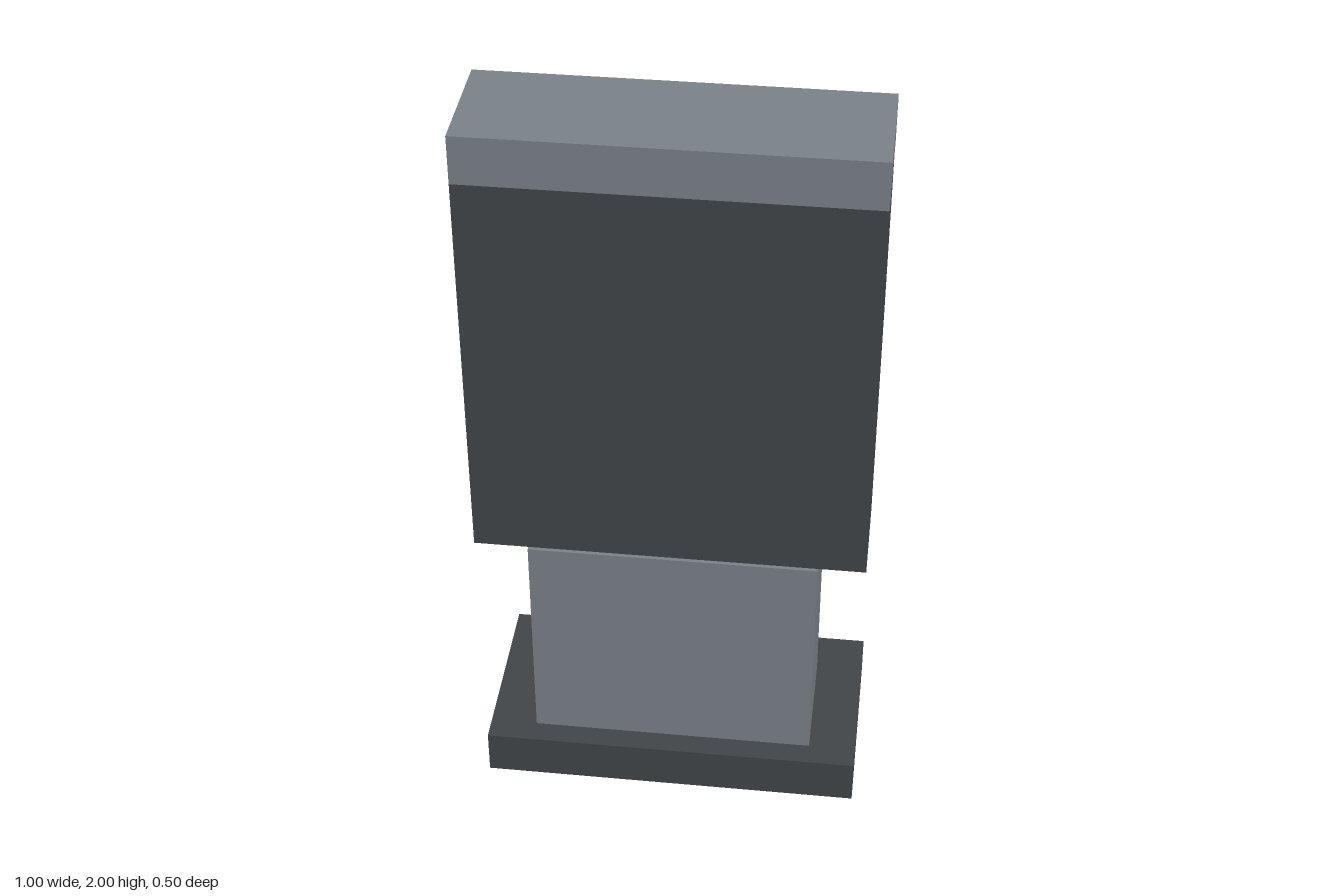
import * as THREE from 'three';

const paint = (name, color) => {
  const m = new THREE.MeshStandardMaterial({ color });
  m.name = name;
  return m;
};

export function createModel() {
  const model = new THREE.Group();
  model.name = 'kiosk';
  const dark = paint('charcoal', 0x42474a);
  const grey = paint('steel grey', 0x7c838a);
  const light = paint('light grey', 0xa2a7ac);
  const blue = paint('navy blue', 0x344f78);

  // Adds a box given by its lower and upper limits on each axis
  const box = (name, mat, [x0, x1], [y0, y1], [z0, z1]) => {
    const mesh = new THREE.Mesh(new THREE.BoxGeometry(x1 - x0, y1 - y0, z1 - z0), mat);
    mesh.position.set((x0 + x1) / 2, (y0 + y1) / 2, (z0 + z1) / 2);
    mesh.name = name;
    model.add(mesh);
  };

  // Stand
  box('base', dark, [-0.5, 0.5], [0, 0.125], [-0.25, 0.25]);
  box('column', grey, [-0.375, 0.375], [0.125, 0.75], [-0.125, 0.1875]);
  box('shelf', dark, [-0.4375, 0.4375], [0.6875, 0.8125], [-0.25, 0.0625]);

  // Screen housing with overhanging cap and lamp
  box('housing', dark, [-0.5, 0.5], [0.8125, 1.875], [0, 0.25]);
  box('cap', grey, [-0.5, 0.5], [1.875, 2], [-0.0625, 0.25]);
  box('lamp', blue, [-0.4375, 0.4375], [1.875, 1.9375], [-0.125, -0.0625]);

  // Thin screen with rounded corners on the back of the housing
  const w = 0.4375, h = 0.46875, r = 0.045;
  const outline = new THREE.Shape();
  outline.absarc(w - r, h - r, r, 0, Math.PI / 2);
  outline.absarc(-w + r, h - r, r, Math.PI / 2, Math.PI);
  outline.absarc(-w + r, -h + r, r, Math.PI, Math.PI * 1.5);
  outline.absarc(w - r, -h + r, r, Math.PI * 1.5, Math.PI * 2);
  const screen = new THREE.Mesh(
    new THREE.ExtrudeGeometry(outline, { depth: 0.004, bevelEnabled: false, curveSegments: 6 }), blue);
  screen.position.set(0, 1.34375, -0.004);
  screen.name = 'screen';
  model.add(screen);

  // Raised bars on the screen, aligned at one end
  [[1, 0.375], [1.25, 0.125], [1.5, 0.25]].forEach(([y, end], i) =>
    box(`screenBar${i + 1}`, light, [-0.375, end], [y, y + 0.0625], [-0.0625, 0]));

  return model;
}
